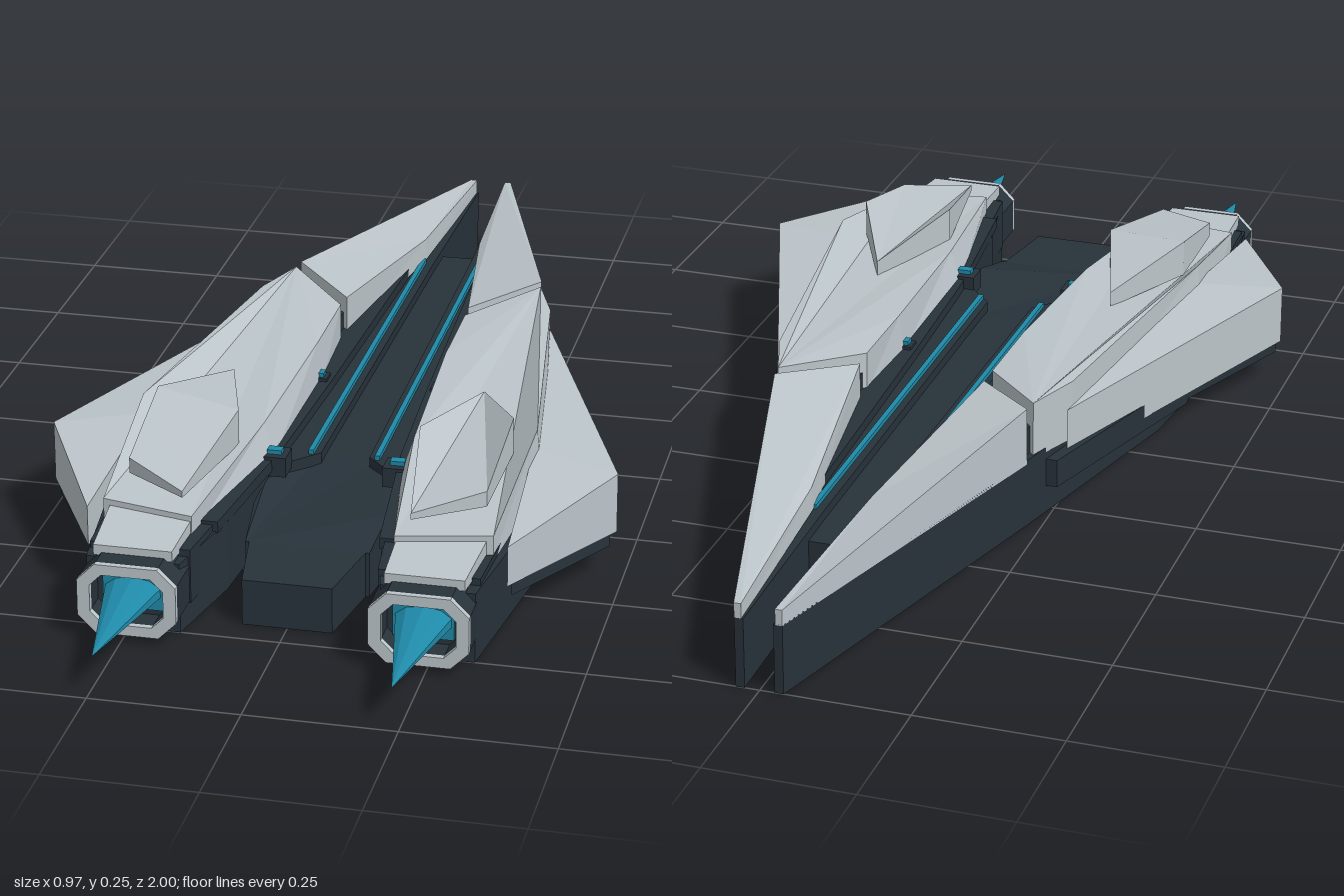
import * as THREE from 'three';

const paint = (color) => new THREE.MeshStandardMaterial({ color, flatShading: true, roughness: 0.8 });

// Faceted solid between a lower and an upper ring of [x, y, z] corners (seen in plan).
// fan: corner from which the caps are fanned; otherwise the caps are triangulated in plan.
function slabGeometry(low, high, fan) {
  const n = low.length;
  const plan = high.map(([x, , z]) => new THREE.Vector2(x, z));
  const clockwise = THREE.ShapeUtils.isClockWise(plan);
  const caps = fan === undefined
    ? THREE.ShapeUtils.triangulateShape(plan, [])
    : Array.from({ length: n - 2 }, (_, i) => [fan, (fan + i + 1) % n, (fan + i + 2) % n]);
  const pos = [];
  const tri = (a, b, c) => pos.push(...a, ...b, ...c);
  for (const [a, b, c] of caps) {
    // orient each cap triangle by its own plan area
    const [p, q, r] = [plan[a], plan[b], plan[c]];
    const area = (q.x - p.x) * (r.y - p.y) - (q.y - p.y) * (r.x - p.x);
    const [s, t] = area < 0 ? [b, c] : [c, b];
    tri(high[a], high[s], high[t]);
    tri(low[a], low[t], low[s]);
  }
  for (let i = 0; i < n; i++) {
    let [a, b] = [i, (i + 1) % n];
    if (!clockwise) [a, b] = [b, a];
    tri(low[a], low[b], high[b]);
    tri(low[a], high[b], high[a]);
  }
  const geo = new THREE.BufferGeometry();
  geo.setAttribute('position', new THREE.Float32BufferAttribute(pos, 3));
  geo.computeVertexNormals();
  return geo;
}

// Rectangle with chamfered corners
function chamferedRect(w, h, c, Type = THREE.Shape) {
  const [x, y] = [w / 2, h / 2];
  return new Type([
    [-x + c, -y], [x - c, -y], [x, -y + c], [x, y - c],
    [x - c, y], [-x + c, y], [-x, y - c], [-x, -y + c],
  ].map(([a, b]) => new THREE.Vector2(a, b)));
}

export function createModel() {
  const model = new THREE.Group();
  const armour = paint(0xbcc5ca);
  const dark = paint(0x27323a);
  const blue = paint(0x1f8aa8);

  const add = (parent, name, geo, mat, x = 0, y = 0, z = 0) => {
    const mesh = new THREE.Mesh(geo, mat);
    mesh.name = name;
    mesh.position.set(x, y, z);
    parent.add(mesh);
    return mesh;
  };

  // Central deck: long tapered plate, stepping down to a tail
  const both = (pts) => [...pts, ...pts.map(([x, y, z]) => [-x, y, z]).reverse()];
  const deck = [[0.035, 0.105, -0.69], [0.05, 0.105, 0.25], [0.118, 0.105, 0.36],
    [0.115, 0.105, 0.46], [0.105, 0.08, 0.56]];
  const tail = [[0.1, 0.08, 0.55], [0.075, 0.08, 0.7]];
  for (const [name, ring] of [['centralDeck', deck], ['tailPlate', tail]]) {
    add(model, name, slabGeometry(both(ring.map(([x, , z]) => [x, 0, z])), both(ring)), dark);
  }

  for (const s of [1, -1]) {
    const side = new THREE.Group();
    side.name = s > 0 ? 'leftHull' : 'rightHull';
    model.add(side);

    // rows: [x, z, bottom y, top y, optional top x]
    const slab = (name, mat, rows, fan) => add(side, name, slabGeometry(
      rows.map(([x, z, y]) => [s * x, y, z]),
      rows.map(([x, z, , y, tx = x]) => [s * tx, y, z]), fan), mat);
    const flat = (name, mat, y0, y1, pts) => slab(name, mat, pts.map(([x, z]) => [x, z, y0, y1]));
    const box = (name, mat, w, h, d, x, y, z) =>
      add(side, name, new THREE.BoxGeometry(w, h, d), mat, s * x, y, z);

    // Dark lower body
    flat('lowerHull', dark, 0, 0.122, [[0.025, -1], [0.04, -1], [0.225, -0.33], [0.335, 0.1],
      [0.365, 0.4], [0.32, 0.75], [0.165, 0.75], [0.13, 0.58], [0.115, 0.36], [0.042, 0.28], [0.034, -0.6]]);
    flat('innerLedge', dark, 0.12, 0.14, [[0.062, -0.6], [0.13, -0.2], [0.14, 0.35],
      [0.17, 0.62], [0.135, 0.62], [0.1, 0.3], [0.085, 0]]);

    // Armour plates on top, split by a diagonal gap
    slab('noseArmour', armour, [[0.028, -1, 0.12, 0.148], [0.04, -1, 0.12, 0.148],
      [0.225, -0.33, 0.115, 0.218], [0.112, -0.215, 0.125, 0.203], [0.05, -0.62, 0.125, 0.165, 0.052]]);
    slab('mainArmour', armour, [[0.228, -0.305, 0.115, 0.218], [0.265, -0.2, 0.11, 0.218],
      [0.35, 0.33, 0.1, 0.225, 0.34], [0.325, 0.63, 0.125, 0.168], [0.168, 0.66, 0.125, 0.165],
      [0.11, 0.33, 0.13, 0.19, 0.13], [0.106, 0, 0.13, 0.203, 0.115], [0.114, -0.175, 0.13, 0.205]], 0);
    flat('armourGap', dark, 0.115, 0.17, [[0.215, -0.34], [0.22, -0.29], [0.12, -0.17], [0.12, -0.23]]);

    // Raised angular pod on the main armour
    slab('topPod', armour, [[0.22, 0.18, 0.19, 0.218], [0.305, 0.36, 0.19, 0.255],
      [0.3, 0.56, 0.185, 0.212], [0.19, 0.635, 0.185, 0.196], [0.155, 0.4, 0.18, 0.243]], s > 0 ? 0 : 1);

    // Side wing and its dark underside
    slab('sideWing', armour, [[0.262, -0.22, 0.075, 0.172], [0.485, 0.38, 0.075, 0.18],
      [0.35, 0.64, 0.085, 0.155], [0.335, 0.33, 0.075, 0.19]]);
    flat('wingUnderside', dark, 0.05, 0.077, [[0.265, -0.14], [0.475, 0.385], [0.35, 0.6], [0.3, 0.3]]);
    flat('wingRoot', dark, 0.05, 0.1, [[0.235, -0.27], [0.26, -0.27], [0.38, 0.12], [0.36, 0.4], [0.28, 0.2]]);

    // Glowing strip and small fittings along the inner edge
    const strip = box('lightStrip', blue, 0.009, 0.012, 0.9, 0.055, 0.124, -0.16);
    strip.rotation.y = s * 0.006;
    for (const [x, z, size] of [[0.108, 0.01, 0.03], [0.106, 0.345, 0.045]]) {
      box('fittingBase', dark, size, 0.035, size, x, 0.128, z);
      box('fittingLight', blue, size * 0.55, 0.012, 0.018, x, 0.147, z);
    }

    // Engine: hollow dark sleeve, pale rim, glowing plate and pointed flame
    const engine = new THREE.Group();
    engine.name = 'engine';
    engine.position.set(s * 0.239, 0.074, 0);
    side.add(engine);
    const ring = (w, h, c, depth, iw, ih) => {
      const shape = chamferedRect(w, h, c);
      shape.holes.push(chamferedRect(iw, ih, 0.02, THREE.Path));
      return new THREE.ExtrudeGeometry(shape, { depth, bevelEnabled: false });
    };
    add(engine, 'engineSleeve', ring(0.164, 0.122, 0.03, 0.155, 0.122, 0.086), dark, 0, 0, 0.64);
    add(engine, 'engineRim', ring(0.164, 0.122, 0.03, 0.01, 0.122, 0.086), armour, 0, 0, 0.795);
    add(engine, 'engineBack', new THREE.BoxGeometry(0.126, 0.09, 0.01), dark, 0, 0, 0.752);
    add(engine, 'engineGlow', new THREE.BoxGeometry(0.1, 0.062, 0.01), blue, 0, 0, 0.76);
    const flame = new THREE.ConeGeometry(0.048, 0.235, 10).rotateX(Math.PI / 2).scale(1, 0.52, 1);
    add(engine, 'engineFlame', flame, blue, 0, 0, 0.8825);

    // Stepped plate covering the engine and the block beneath it
    slab('engineCover', armour, [[0.316, 0.6, 0.12, 0.16], [0.305, 0.76, 0.13, 0.148],
      [0.174, 0.76, 0.13, 0.148], [0.168, 0.6, 0.12, 0.16]]);
    flat('engineShoulder', dark, 0.04, 0.134, [[0.335, 0.42], [0.322, 0.72], [0.155, 0.72], [0.13, 0.5]]);
  }
  return model;
}
